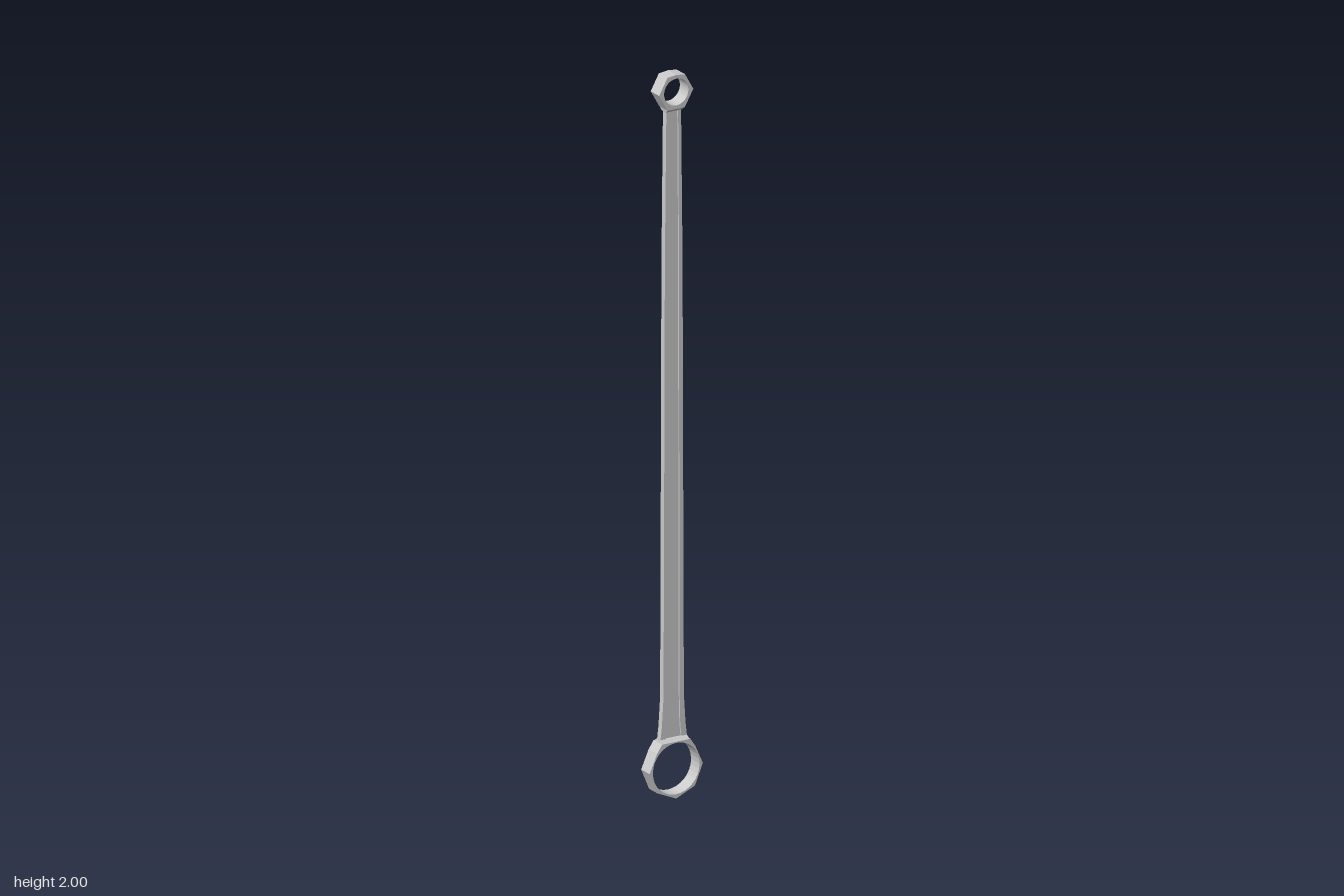
import * as THREE from 'three';

const material = new THREE.MeshStandardMaterial({ color: 0xcccccc, flatShading: true });
const DEPTH = 0.042;

function addMesh(group, name, geometry) {
  const mesh = new THREE.Mesh(geometry, material);
  mesh.name = name;
  group.add(mesh);
  return mesh;
}

// Faceted outline (given for its +x half, bottom to top) with a round bore
function ringGeometry(half, cy, bore) {
  const mirrored = half.filter(([x]) => x > 0).reverse().map(([x, y]) => [-x, y]);
  const shape = new THREE.Shape([...half, ...mirrored].map(([x, y]) => new THREE.Vector2(x, y)));
  const hole = new THREE.Path();
  hole.absarc(0, cy, bore, 0, Math.PI * 2, true);
  shape.holes.push(hole);
  const geometry = new THREE.ExtrudeGeometry(shape, { depth: DEPTH, bevelEnabled: false, curveSegments: 16 });
  return geometry.translate(0, 0, -DEPTH / 2);
}

// Chamfered step from the thick ring to the thin shaft; dir is the side that narrows
function shoulderGeometry(width, height, dir) {
  const geometry = new THREE.BoxGeometry(width, height, DEPTH);
  const p = geometry.attributes.position;
  for (let i = 0; i < p.count; i++) {
    if (p.getY(i) * dir > 0) p.setXYZ(i, p.getX(i) * 0.95, p.getY(i), p.getZ(i) * 0.45);
  }
  geometry.computeVertexNormals();
  return geometry;
}

// I-beam section lofted through stations of [y, half width, half web width]
function shaftGeometry(stations) {
  const t = 0.0085, s = 0.004, positions = [], index = [], n = 12;
  for (const [y, w, q] of stations) {
    const section = [[w, t], [w, -t], [q, -t], [q, -s], [-q, -s], [-q, -t],
      [-w, -t], [-w, t], [-q, t], [-q, s], [q, s], [q, t]];
    for (const [x, z] of section) positions.push(x, y, z);
  }
  for (let k = 0; k < stations.length - 1; k++) {
    for (let i = 0; i < n; i++) {
      const a = k * n + i, b = k * n + (i + 1) % n;
      index.push(a, b, b + n, a, b + n, a + n);
    }
  }
  const geometry = new THREE.BufferGeometry();
  geometry.setAttribute('position', new THREE.Float32BufferAttribute(positions, 3));
  geometry.setIndex(index);
  const flat = geometry.toNonIndexed();
  flat.computeVertexNormals();
  return flat;
}

export function createModel() {
  const group = new THREE.Group();
  group.name = 'connectingRod';

  // Large end: octagonal ring with a flat seat for the shaft
  addMesh(group, 'bigEnd', ringGeometry(
    [[0, 0], [0.057, 0.025], [0.081, 0.083], [0.058, 0.135], [0.043, 0.157]], 0.083, 0.071));
  addMesh(group, 'bigEndShoulder', shoulderGeometry(0.084, 0.009, 1)).position.y = 0.1605;

  // Small end: hexagonal ring
  addMesh(group, 'smallEnd', ringGeometry(
    [[0.026, 1.906], [0.052, 1.952], [0.027, 1.997], [0, 2]], 1.953, 0.037));
  addMesh(group, 'smallEndShoulder', shoulderGeometry(0.052, 0.01, -1)).position.y = 1.902;

  // Tapered shaft with recessed web on both faces
  addMesh(group, 'shaft', shaftGeometry([
    [0.158, 0.041, 0.024], [0.2, 0.036, 0.02], [0.28, 0.031, 0.018],
    [0.85, 0.029, 0.017], [1.48, 0.027, 0.016], [1.85, 0.023, 0.014], [1.905, 0.022, 0.013]]));

  return group;
}
